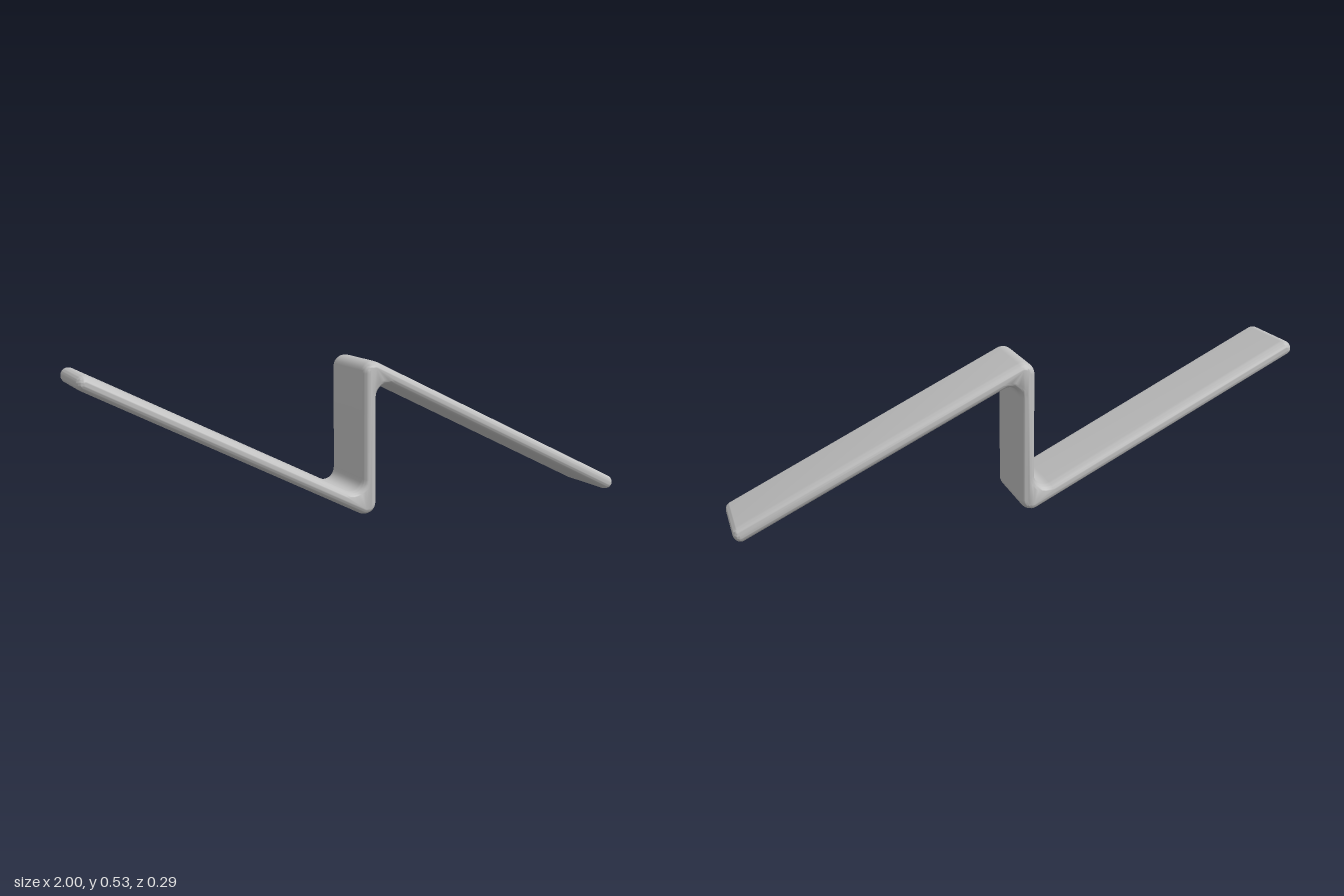
import * as THREE from 'three';
import { toCreasedNormals } from 'three/addons/utils/BufferGeometryUtils.js';

const V = (x, y) => new THREE.Vector2(x, y);

// Centreline of the folded strip, seen from the front
const path = [V(-0.98, 0.507), V(-0.008, 0.017), V(-0.008, 0.513), V(0.98, 0.026)];
const core = 0.005;      // half thickness of the flat core
const edge = 0.021;      // rounding added around the core
const edgeDepth = 0.035; // rounding along z
const halfDepth = 0.145;

// Mitred offset of the centreline to one side
function offsetPath(points, distance) {
  return points.map((p, i) => {
    const dirs = [];
    if (i > 0) dirs.push(p.clone().sub(points[i - 1]).normalize());
    if (i < points.length - 1) dirs.push(points[i + 1].clone().sub(p).normalize());
    const normals = dirs.map((d) => V(-d.y, d.x));
    const m = normals.reduce((a, n) => a.clone().add(n)).clone().normalize();
    return p.clone().addScaledVector(m, distance / m.dot(normals[0]));
  });
}

// Replaces each corner of a polygon by an arc of its own radius
function roundCorners(points, radii, steps) {
  const out = [];
  points.forEach((p, i) => {
    const n = points.length;
    const a = points[(i + n - 1) % n].clone().sub(p).normalize();
    const b = points[(i + 1) % n].clone().sub(p).normalize();
    const half = Math.acos(THREE.MathUtils.clamp(a.dot(b), -1, 1)) / 2;
    const r = radii[i];
    const centre = p.clone().addScaledVector(a.clone().add(b).normalize(), r / Math.sin(half));
    const start = p.clone().addScaledVector(a, r / Math.tan(half)).sub(centre);
    const turn = (Math.PI - 2 * half) * -Math.sign(a.cross(b));
    for (let s = 0; s <= steps; s++) {
      out.push(start.clone().rotateAround(V(0, 0), (turn * s) / steps).add(centre));
    }
  });
  return out;
}

export function createModel() {
  const model = new THREE.Group();
  model.name = 'foldedStrip';

  const grey = new THREE.MeshStandardMaterial({ color: 0xc0c0c0 });
  grey.name = 'light grey';

  // Thin zigzag outline: tight outer bends, wide inner fillets
  const upper = offsetPath(path, core);
  const lower = offsetPath(path, -core).reverse();
  const tip = 0.0045, outer = 0.02, inner = 0.06;
  const outline = roundCorners(
    [...upper, ...lower],
    [tip, inner, outer, tip, tip, inner, outer, tip],
    8
  );

  // The bevel swells the core into a strip with rounded edges
  const geometry = new THREE.ExtrudeGeometry(new THREE.Shape(outline), {
    depth: 2 * (halfDepth - edgeDepth),
    bevelEnabled: true,
    bevelSize: edge,
    bevelThickness: edgeDepth,
    bevelSegments: 8,
    steps: 1,
  });
  geometry.translate(0, 0, -(halfDepth - edgeDepth));
  geometry.clearGroups();

  const strip = new THREE.Mesh(toCreasedNormals(geometry, 0.9), grey);
  strip.name = 'zigzagStrip';
  model.add(strip);
  return model;
}
